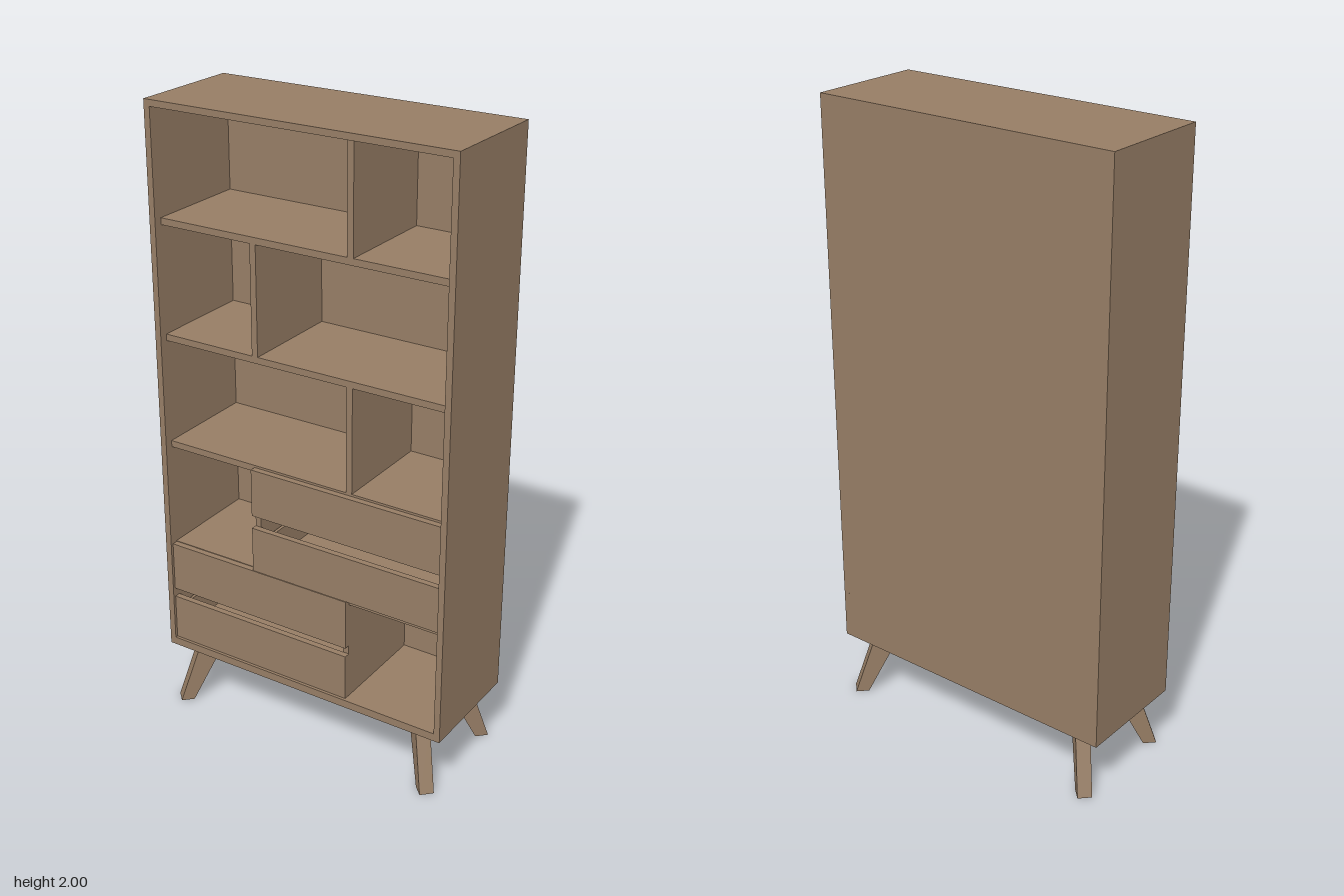
import * as THREE from 'three';

export function createModel() {
  const model = new THREE.Group();
  const wood = new THREE.MeshStandardMaterial({ color: 0x967d65 });
  wood.name = 'walnutWood';

  // Box given by its limits on each axis
  const board = (name, [x0, x1], [y0, y1], [z0, z1], parent = model) => {
    const mesh = new THREE.Mesh(new THREE.BoxGeometry(x1 - x0, y1 - y0, z1 - z0), wood);
    mesh.position.set((x0 + x1) / 2, (y0 + y1) / 2, (z0 + z1) / 2);
    mesh.name = name;
    parent.add(mesh);
    return mesh;
  };

  const W = 0.505, IN = 0.485, BACK = -0.19, LIP = 0.16, FRONT = 0.187;
  const inner = [-0.18, LIP];

  // Carcass
  board('rightSide', [-W, -IN], [0.2, 2], [BACK, LIP]);
  board('leftSide', [IN, W], [0.2, 2], [BACK, LIP]);
  board('topPanel', [-IN, IN], [1.98, 2], [BACK, LIP]);
  board('bottomPanel', [-IN, IN], [0.2, 0.226], [BACK, LIP]);
  board('backPanel', [-IN, IN], [0.226, 1.98], [BACK, -0.18]);

  // Front frame around the opening
  const frame = new THREE.Shape();
  frame.moveTo(-W, 0.2).lineTo(W, 0.2).lineTo(W, 2).lineTo(-W, 2).closePath();
  const opening = new THREE.Path();
  opening.moveTo(-IN, 0.226).lineTo(-IN, 1.98).lineTo(IN, 1.98).lineTo(IN, 0.226).closePath();
  frame.holes.push(opening);
  const frameMesh = new THREE.Mesh(
    new THREE.ExtrudeGeometry(frame, { depth: FRONT - LIP, bevelEnabled: false }), wood);
  frameMesh.position.z = LIP;
  frameMesh.name = 'frontFrame';
  model.add(frameMesh);

  // Shelves, by underside height
  const shelves = [0.555, 0.91, 1.265, 1.628];
  shelves.forEach((y) => board('shelf', [-IN, IN], [y, y + 0.021], inner));

  // Staggered dividers: x start, bottom, top
  [
    [0.155, 1.649, 1.98],
    [-0.17, 1.286, 1.628],
    [0.155, 0.931, 1.265],
    [-0.17, 0.576, 0.91],
    [0.147, 0.226, 0.555],
  ].forEach(([x, y0, y1]) => board('divider', [x, x + 0.02], [y0, y1], inner));

  // Drawers: overlay front plus an open tray behind it
  const drawer = (x0, x1, y0, y1, tx0, tx1) => {
    const g = new THREE.Group();
    g.name = 'drawer';
    const ty = [y0 + 0.012, y1 - 0.04];
    board('drawerFront', [x0, x1], [y0, y1], [LIP, 0.18], g);
    board('drawerBottom', [tx0, tx1], [ty[0], ty[0] + 0.01], [-0.16, LIP], g);
    board('drawerSide', [tx0, tx0 + 0.01], ty, [-0.16, LIP], g);
    board('drawerSide', [tx1 - 0.01, tx1], ty, [-0.16, LIP], g);
    board('drawerBack', [tx0 + 0.01, tx1 - 0.01], ty, [-0.16, -0.15], g);
    model.add(g);
  };
  drawer(-0.17, 0.483, 0.768, 0.924, -0.145, 0.48);
  drawer(-0.17, 0.483, 0.576, 0.725, -0.145, 0.48);
  drawer(-0.483, 0.168, 0.41, 0.574, -0.48, 0.142);
  drawer(-0.483, 0.168, 0.228, 0.38, -0.48, 0.142);

  // Base rails
  for (const s of [-1, 1]) {
    const z = s * 0.109, x = s * 0.394;
    board('longRail', [-0.405, 0.405], [0.15, 0.2], [z - 0.011, z + 0.011]);
    board('shortRail', [x - 0.011, x + 0.011], [0.15, 0.2], [-0.098, 0.098]);
  }

  // Legs set diagonally, splayed outward and tapering to the foot
  const foot = [[0.487, 0.176], [0.455, 0.208], [0.425, 0.178], [0.457, 0.146]];
  const head = [[0.44, 0.128], [0.408, 0.16], [0.352, 0.104], [0.384, 0.072]];
  const makeLeg = (sx, sz) => {
    const p = [...foot.map(([x, z]) => [x * sx, 0, z * sz]), ...head.map(([x, z]) => [x * sx, 0.2, z * sz])];
    const quads = [[0, 3, 2, 1], [4, 5, 6, 7]];
    for (let i = 0; i < 4; i++) {
      const j = (i + 1) % 4;
      quads.push([i, j, j + 4, i + 4]);
    }
    const pos = [];
    for (const q of quads) {
      // Corners seen from outside run clockwise here unless mirrored once
      const [a, b, c, d] = sx * sz > 0 ? [q[3], q[2], q[1], q[0]] : q;
      for (const k of [a, b, c, a, c, d]) pos.push(...p[k]);
    }
    const geo = new THREE.BufferGeometry();
    geo.setAttribute('position', new THREE.Float32BufferAttribute(pos, 3));
    geo.computeVertexNormals();
    const leg = new THREE.Mesh(geo, wood);
    leg.name = (sz > 0 ? 'front' : 'back') + (sx > 0 ? 'Left' : 'Right') + 'Leg';
    model.add(leg);
  };
  for (const sx of [-1, 1]) for (const sz of [-1, 1]) makeLeg(sx, sz);

  return model;
}
